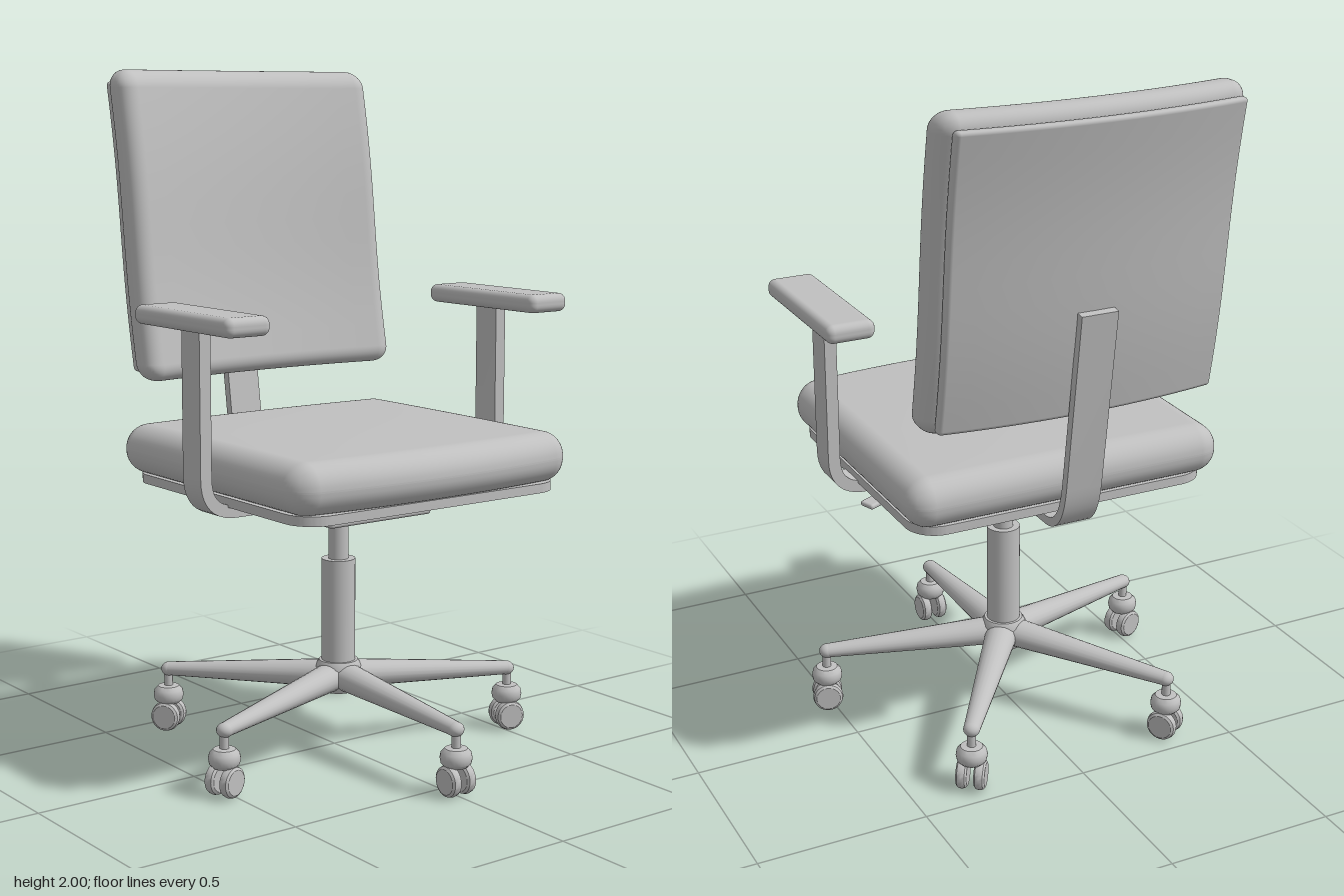
import * as THREE from 'three';
import { mergeVertices, toCreasedNormals } from 'three/addons/utils/BufferGeometryUtils.js';

const grey = new THREE.MeshStandardMaterial({ color: 0xc0c0c0 });
grey.name = 'plain grey';

function add(parent, name, geometry, x = 0, y = 0, z = 0) {
  const mesh = new THREE.Mesh(geometry, grey);
  mesh.name = name;
  mesh.position.set(x, y, z);
  parent.add(mesh);
  return mesh;
}

// Rounded block with a dense grid, optionally bent by a rule on each point.
function softBlock(w, h, d, r, bend) {
  const k = 5, inner = 12, n = 2 * k + inner;
  const geo = new THREE.BoxGeometry(1, 1, 1, n, n, n);
  geo.deleteAttribute('normal');
  geo.deleteAttribute('uv');
  const pos = geo.attributes.position;
  const half = [w / 2, h / 2, d / 2];
  const p = new THREE.Vector3(), core = new THREE.Vector3(), dir = new THREE.Vector3();
  for (let i = 0; i < pos.count; i++) {
    p.fromBufferAttribute(pos, i);
    for (let a = 0; a < 3; a++) {
      const j = Math.round((p.getComponent(a) + 0.5) * n);
      const c = Math.min(Math.max(j - k, 0), inner);
      core.setComponent(a, (half[a] - r) * (2 * c / inner - 1));
      dir.setComponent(a, Math.tan((j - k - c) / k * Math.PI / 4));
    }
    p.copy(core).addScaledVector(dir.normalize(), r);
    if (bend) bend(p);
    pos.setXYZ(i, p.x, p.y, p.z);
  }
  const welded = mergeVertices(geo, 1e-5);
  welded.computeVertexNormals();
  return welded;
}

// Flat bar of given thickness following a 2D path, extruded to a width.
function strap(path, thickness, width) {
  const pts = path.getPoints(10);
  const left = [], right = [];
  pts.forEach((p, i) => {
    const a = pts[Math.max(i - 1, 0)], b = pts[Math.min(i + 1, pts.length - 1)];
    const t = b.clone().sub(a).normalize().multiplyScalar(thickness / 2);
    left.push(new THREE.Vector2(p.x - t.y, p.y + t.x));
    right.unshift(new THREE.Vector2(p.x + t.y, p.y - t.x));
  });
  const geo = new THREE.ExtrudeGeometry(new THREE.Shape([...right, ...left]), { depth: width, bevelEnabled: false });
  geo.translate(0, 0, -width / 2);
  return toCreasedNormals(geo, 0.6);
}

function lathe(points, segments = 32) {
  const geo = new THREE.LatheGeometry(points.map(([x, y]) => new THREE.Vector2(x, y)), segments);
  return toCreasedNormals(geo, 0.6);
}

// Backward lean and wrap-around curve shared by cushion and shell.
function leanBack(p) {
  const t = (p.y + 0.45) / 0.9;
  p.z += -0.145 * t - 0.007 * Math.sin(t * Math.PI * 2) + 0.037 * (p.x / 0.43) ** 2;
}

function makeCaster() {
  const caster = new THREE.Group();
  caster.name = 'caster';
  add(caster, 'casterStem', new THREE.CylinderGeometry(0.013, 0.013, 0.07, 16), 0, 0.15, 0);
  add(caster, 'casterHood', lathe([[0, 0.082], [0.032, 0.084], [0.043, 0.095], [0.046, 0.11],
    [0.043, 0.125], [0.032, 0.137], [0, 0.14]], 24));
  for (const s of [-1, 1]) {
    const wheel = add(caster, 'casterWheel', lathe([[0, -0.016], [0.036, -0.016], [0.043, -0.011],
      [0.046, 0], [0.043, 0.011], [0.036, 0.016], [0, 0.016]], 28), s * 0.026, 0.046, 0);
    wheel.rotation.z = Math.PI / 2;
  }
  return caster;
}

export function createModel() {
  const chair = new THREE.Group();
  chair.name = 'officeChair';

  // Five-legged base
  const base = new THREE.Group();
  base.name = 'base';
  base.position.z = 0.02;
  chair.add(base);
  add(base, 'hub', lathe([[0, 0.175], [0.055, 0.175], [0.068, 0.2], [0.068, 0.25], [0.058, 0.268], [0, 0.27]]));
  for (let i = 0; i < 5; i++) {
    const spoke = new THREE.Group();
    spoke.name = 'spoke';
    spoke.rotation.y = i * Math.PI * 2 / 5;
    base.add(spoke);
    const legGeo = new THREE.CylinderGeometry(0.024, 0.05, 0.52, 20, 1, true);
    legGeo.rotateX(Math.PI / 2).scale(1, 0.85, 1);
    const leg = add(spoke, 'leg', legGeo, 0, 0.206, 0.285);
    leg.rotation.x = 0.06;
    const tip = add(spoke, 'legTip', new THREE.SphereGeometry(0.0245, 20, 12), 0, 0.19, 0.543);
    tip.scale.y = 0.87;
    const caster = makeCaster();
    caster.position.z = 0.546;
    spoke.add(caster);
  }

  // Gas column
  add(base, 'columnSleeve', new THREE.CylinderGeometry(0.05, 0.05, 0.34, 32), 0, 0.405, 0);
  add(base, 'columnPiston', new THREE.CylinderGeometry(0.03, 0.03, 0.2, 24), 0, 0.645, 0);

  // Tilt mechanism and lever
  add(chair, 'mechanism', softBlock(0.365, 0.085, 0.42, 0.01), 0, 0.762, 0.02);
  const leverPath = new THREE.CatmullRomCurve3([
    new THREE.Vector3(0.16, 0.765, 0.08), new THREE.Vector3(0.27, 0.757, 0.06), new THREE.Vector3(0.4, 0.745, 0.02)]);
  add(chair, 'lever', new THREE.TubeGeometry(leverPath, 16, 0.01, 10));
  const paddle = add(chair, 'leverPaddle', softBlock(0.11, 0.016, 0.05, 0.007), 0.4, 0.744, 0.02);
  paddle.rotation.set(0, 0.35, -0.08);

  // Seat pan and cushion
  const w = 0.46, d = 0.44, r = 0.09;
  const pan = new THREE.Shape();
  pan.moveTo(-w + r, -d).lineTo(w - r, -d).absarc(w - r, -d + r, r, -Math.PI / 2, 0)
    .lineTo(w, d - r).absarc(w - r, d - r, r, 0, Math.PI / 2)
    .lineTo(-w + r, d).absarc(-w + r, d - r, r, Math.PI / 2, Math.PI)
    .lineTo(-w, -d + r).absarc(-w + r, -d + r, r, Math.PI, Math.PI * 1.5);
  const panGeo = new THREE.ExtrudeGeometry(pan, { depth: 0.027, bevelEnabled: false });
  panGeo.rotateX(-Math.PI / 2);
  add(chair, 'seatPan', toCreasedNormals(panGeo, 0.6), 0, 0.8, 0.05);
  add(chair, 'seatCushion', softBlock(0.975, 0.145, 0.915, 0.07, (p) => {
    const side = 1 - (p.x / 0.49) ** 2;
    p.z += 0.04 * side * Math.max(0, p.z / 0.46);
    if (p.y > 0) p.y += 0.01 * side * (1 - (p.z / 0.5) ** 2);
  }), 0, 0.895, 0.037);

  // Backrest
  add(chair, 'backCushion', softBlock(0.895, 0.905, 0.12, 0.052, leanBack), 0, 1.547, -0.38);
  add(chair, 'backShell', softBlock(0.84, 0.85, 0.034, 0.012, leanBack), 0, 1.54, -0.452);
  const backPath = new THREE.Path();
  backPath.moveTo(0.15, 0.764).lineTo(0.36, 0.764)
    .quadraticCurveTo(0.445, 0.768, 0.465, 0.9).lineTo(0.54, 1.43);
  const backGeo = strap(backPath, 0.026, 0.11);
  backGeo.rotateY(Math.PI / 2);
  add(chair, 'backSupport', backGeo);

  // Armrests, mirrored
  for (const s of [-1, 1]) {
    const armPath = new THREE.Path();
    armPath.moveTo(s * 0.16, 0.786).lineTo(s * 0.43, 0.786)
      .quadraticCurveTo(s * 0.53, 0.786, s * 0.53, 0.886).lineTo(s * 0.53, 1.31);
    const arm = strap(armPath, 0.036, 0.09);
    add(chair, s > 0 ? 'leftArmSupport' : 'rightArmSupport', arm, 0, 0, 0.082);
    add(chair, s > 0 ? 'leftArmPad' : 'rightArmPad', softBlock(0.143, 0.054, 0.477, 0.022), s * 0.53, 1.323, 0.107);
  }
  return chair;
}
